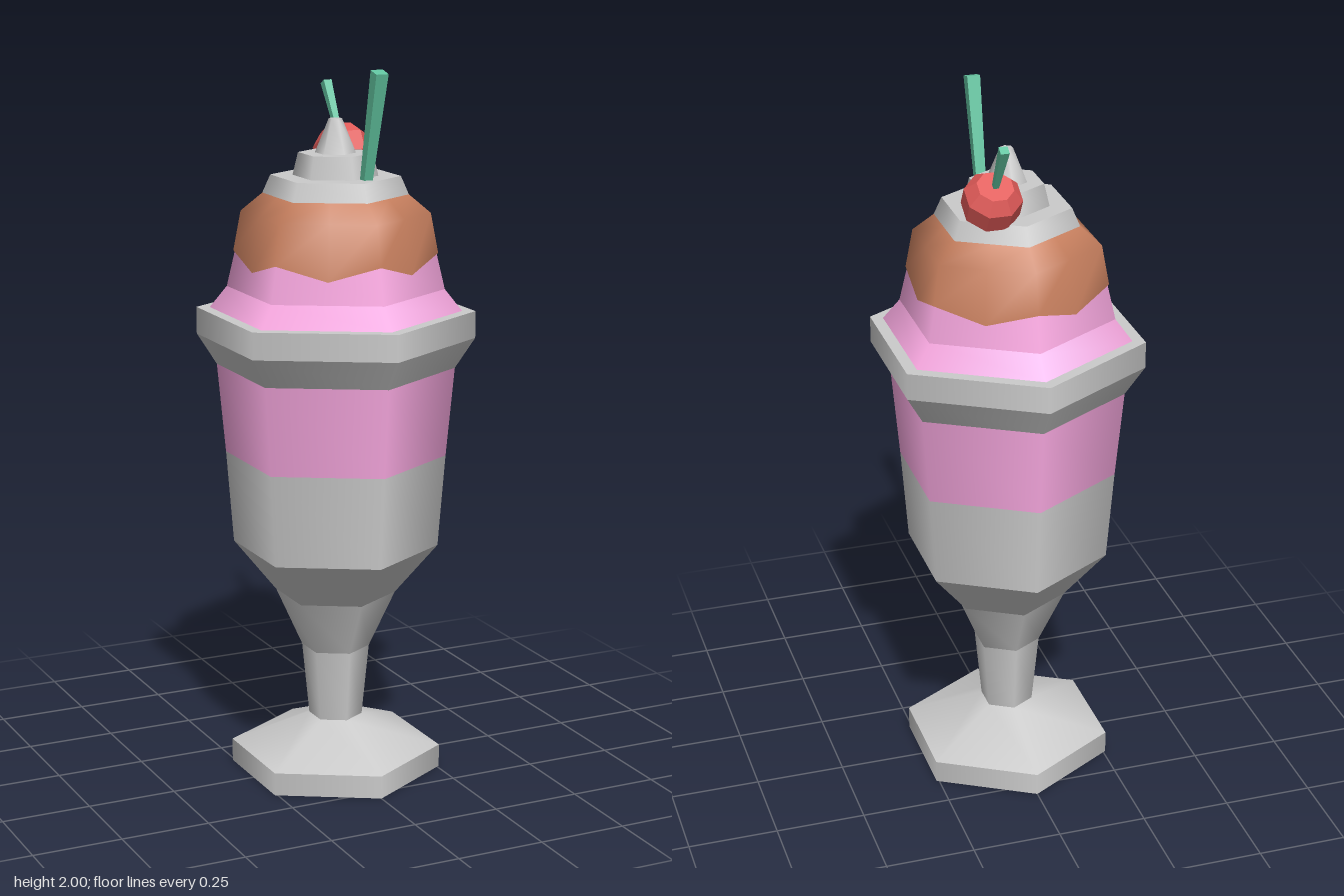
import * as THREE from 'three';
import { mergeVertices } from 'three/addons/utils/BufferGeometryUtils.js';

const material = (color) => new THREE.MeshStandardMaterial({ color });
const GREY = material(0xcccccc);
const PINK = material(0xf8a8e0);
const BROWN = material(0xc8805f);
const RED = material(0xe05a58);
const GREEN = material(0x62c4a0);

function add(parent, name, geometry, mat) {
  const mesh = new THREE.Mesh(geometry, mat);
  mesh.name = name;
  parent.add(mesh);
  return mesh;
}

// Stack of six-sided bands from [radius, height] points, a corner facing +z.
// Bands are smooth around and crisp where they meet; flat steps become rings.
function hexStack(parent, name, points, mat) {
  const group = new THREE.Group();
  group.name = name;
  for (let i = 0; i + 1 < points.length; i++) {
    const band = points.slice(i, i + 2).map(([r, y]) => new THREE.Vector2(r, y));
    add(group, name + 'Band', new THREE.LatheGeometry(band, 6), mat);
  }
  parent.add(group);
  return group;
}

// Sauce shell: follows the hexagon and hangs lower in the middle of each side
function sauceGeometry() {
  const rows = [[0.2, 1.65], [0.26, 1.6], [0.281, 1.49]];
  const geo = new THREE.CylinderGeometry(1, 1, 1, 12, 2, true);
  const pos = geo.attributes.position;
  for (let i = 0; i < pos.count; i++) {
    const row = Math.floor(i / 13), column = i % 13, middle = column % 2 === 1;
    let [r, y] = rows[row];
    if (row === 2 && middle) { r = 0.288; y = 1.45; }
    if (middle) r *= Math.cos(Math.PI / 6);
    const a = (column % 12) * Math.PI / 6;
    pos.setXYZ(i, r * Math.sin(a), y, r * Math.cos(a));
  }
  geo.deleteAttribute('uv');
  geo.deleteAttribute('normal');
  const welded = mergeVertices(geo);
  welded.computeVertexNormals();
  return welded;
}

// Square tapered rod between two points
function rod(parent, name, from, to, w0, w1, mat) {
  const a = new THREE.Vector3(...from), b = new THREE.Vector3(...to);
  const dir = b.clone().sub(a);
  const geo = new THREE.CylinderGeometry(w1 * Math.SQRT1_2, w0 * Math.SQRT1_2, dir.length(), 4);
  geo.rotateY(Math.PI / 4);
  const flat = mat.clone();
  flat.flatShading = true;
  const mesh = add(parent, name, geo, flat);
  mesh.position.copy(a).add(b).multiplyScalar(0.5);
  mesh.quaternion.setFromUnitVectors(new THREE.Vector3(0, 1, 0), dir.normalize());
}

export function createModel() {
  const model = new THREE.Group();
  model.name = 'sundae';

  // Glass: foot, stem, flared cup and rim
  hexStack(model, 'foot', [[0, 0], [0.297, 0], [0.297, 0.065], [0.075, 0.155]], GREY);
  hexStack(model, 'stem', [[0.075, 0.155], [0.095, 0.36], [0.168, 0.52], [0.287, 0.66]], GREY);
  hexStack(model, 'lowerCup', [[0.287, 0.66], [0.307, 0.92]], GREY);
  hexStack(model, 'upperCup', [[0.307, 0.92], [0.33, 1.17]], PINK);
  hexStack(model, 'rim', [[0.33, 1.17], [0.385, 1.255], [0.385, 1.33], [0.345, 1.33]], GREY);

  // Ice cream, sauce and whipped cream tiers
  hexStack(model, 'iceCream', [[0.352, 1.325], [0.3, 1.39], [0.274, 1.5]], PINK);
  add(model, 'sauce', sauceGeometry(), BROWN);
  hexStack(model, 'whippedCream', [
    [0.2, 1.65], [0.178, 1.7], [0.117, 1.7], [0.102, 1.762],
    [0.056, 1.762], [0.018, 1.855], [0, 1.855],
  ], GREY);

  // Straw
  rod(model, 'straw', [0.037, 1.68, 0.11], [0.037, 1.995, 0.192], 0.025, 0.036, GREEN);

  // Cherry, tilted towards the back, with its stalk
  const cherry = new THREE.Group();
  cherry.name = 'cherry';
  const profile = [[0, -0.062], [0.046, -0.062], [0.079, -0.026], [0.079, 0.03], [0.05, 0.065], [0, 0.065]];
  const body = new THREE.LatheGeometry(profile.map(([r, y]) => new THREE.Vector2(r, y)), 8, Math.PI / 8);
  const redFlat = RED.clone();
  redFlat.flatShading = true;
  add(cherry, 'cherryBody', body, redFlat);
  rod(cherry, 'cherryStalk', [0, 0.05, 0], [0, 0.212, 0], 0.014, 0.024, GREEN);
  cherry.position.set(0.072, 1.748, -0.102);
  cherry.rotation.x = -0.54;
  model.add(cherry);

  return model;
}
